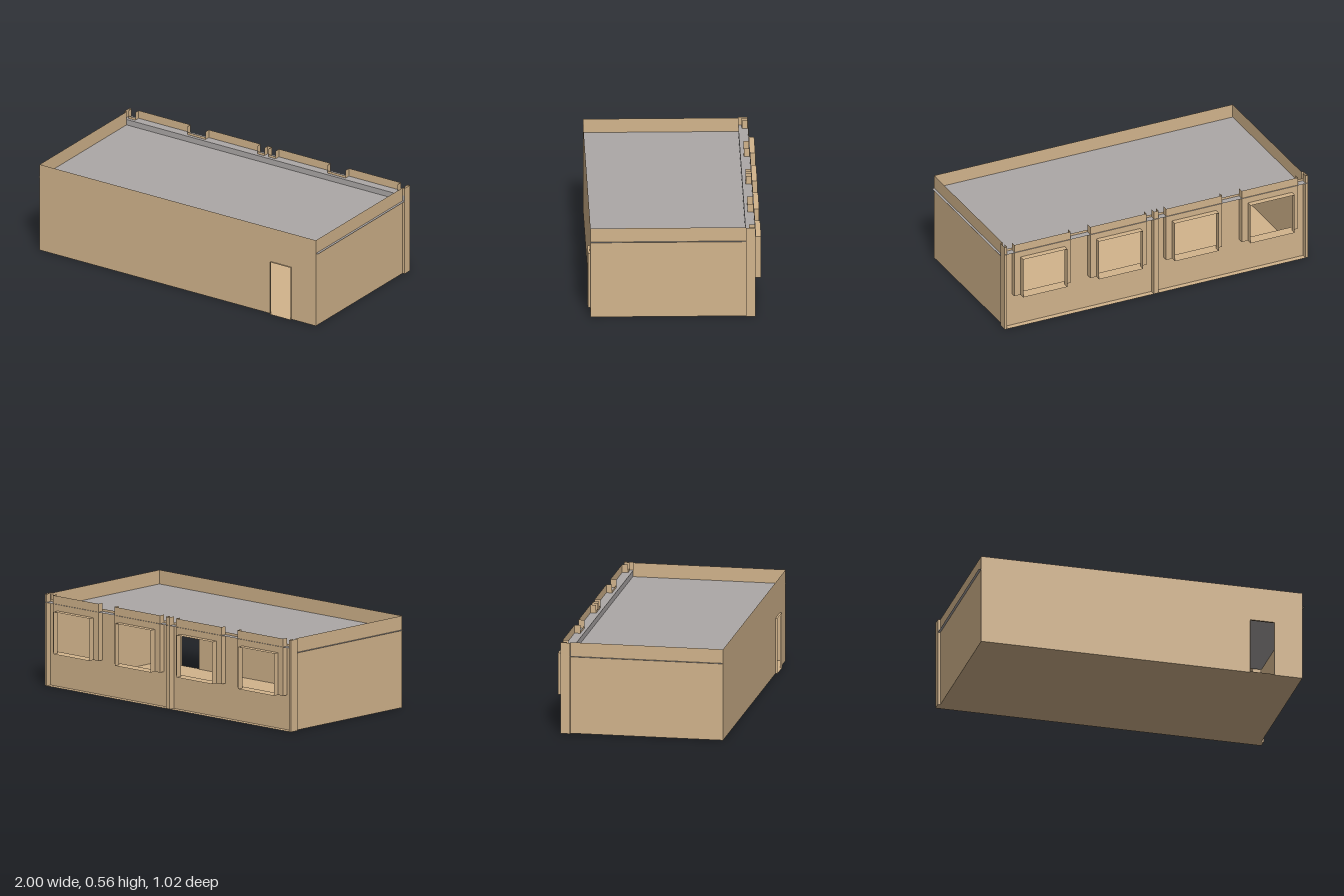
import * as THREE from 'three';

const H = 0.555;          // parapet height
const FRONT = 0.5;        // front wall z
const RECESS = -0.44;     // recessed back wall z
const BACK = -0.475;      // face of the window bays and piers z
const SIDE = 0.985;       // side wall x

export function createModel() {
  const tan = new THREE.MeshStandardMaterial({ color: 0xd2b48c, side: THREE.DoubleSide });
  tan.name = 'tan wall';
  const grey = new THREE.MeshStandardMaterial({ color: 0xaca8a7, side: THREE.DoubleSide });
  grey.name = 'grey roof';

  const model = new THREE.Group();
  model.name = 'flatRoofedBuilding';

  const add = (name, geometry, material = tan, parent = model) => {
    const mesh = new THREE.Mesh(geometry, material);
    mesh.name = name;
    parent.add(mesh);
    return mesh;
  };

  // Thin upright wall following a plan path of [x, z] points
  const wall = (name, path, y0, y1, material = tan, parent = model) => {
    const pos = [];
    for (let i = 0; i < path.length - 1; i++) {
      const [ax, az] = path[i], [bx, bz] = path[i + 1];
      pos.push(ax, y0, az, bx, y0, bz, bx, y1, bz, ax, y0, az, bx, y1, bz, ax, y1, az);
    }
    const g = new THREE.BufferGeometry();
    g.setAttribute('position', new THREE.Float32BufferAttribute(pos, 3));
    g.computeVertexNormals();
    return add(name, g, material, parent);
  };

  // Thin level sheet
  const slab = (name, x0, x1, z0, z1, y, material = tan, parent = model) => {
    const g = new THREE.PlaneGeometry(x1 - x0, z1 - z0).rotateX(-Math.PI / 2);
    g.translate((x0 + x1) / 2, y, (z0 + z1) / 2);
    return add(name, g, material, parent);
  };

  // Thin upright face from an outline of [x, y] points
  const face = (name, outline, z, parent = model) => {
    const shape = new THREE.Shape(outline.map(([x, y]) => new THREE.Vector2(x, y)));
    return add(name, new THREE.ShapeGeometry(shape).translate(0, 0, z), tan, parent);
  };

  // Floor and stepped roof, whose edges poke slightly through the walls
  slab('floor', -SIDE, SIDE, BACK, FRONT, 0);
  slab('mainRoof', -1, 1, -0.42, FRONT, 0.47, grey);
  slab('raisedRoofStrip', -1, 1, -0.48, -0.42, 0.505, grey);
  wall('roofStep', [[-1, -0.42], [1, -0.42]], 0.47, 0.505, grey);

  // Front wall with an open doorway
  const d0 = 0.665, d1 = 0.812, dh = 0.338;
  face('frontWall', [[-SIDE, 0], [d0, 0], [d0, dh], [d1, dh], [d1, 0], [SIDE, 0],
    [SIDE, H], [-SIDE, H]], FRONT);
  const door = new THREE.Group();
  door.name = 'doorFrame';
  model.add(door);
  for (const x of [d0, d1]) wall('doorJamb', [[x, FRONT], [x, 0.512]], 0, dh, tan, door);
  slab('doorHead', d0, d1, FRONT, 0.512, dh, tan, door);
  slab('doorSill', d0, d1, FRONT, 0.512, 0, tan, door);

  // Side walls, corner piers and recessed back wall, mirrored
  for (const s of [-1, 1]) {
    wall('sideWall', [[s * SIDE, FRONT], [s * SIDE, -0.42]], 0, H);
    wall('cornerPier', [[s * SIDE, -0.42], [s, -0.42], [s, BACK], [s * SIDE, BACK],
      [s * SIDE, RECESS]], 0, H);
    slab('cornerPierBase', s > 0 ? SIDE : -1, s > 0 ? 1 : -SIDE, BACK, -0.42, 0);
    wall('lowerBackWall', [[s * 0.015, RECESS], [s * SIDE, RECESS]], 0, 0.21);
    for (const [a, b] of [[0.015, 0.065], [0.435, 0.565], [0.935, SIDE]])
      wall('upperBackWall', [[s * a, RECESS], [s * b, RECESS]], 0.21, 0.52);
  }
  wall('centrePier', [[-0.015, RECESS], [-0.015, BACK], [0.015, BACK], [0.015, RECESS]], 0, H);

  // Four projecting window bays, each with a deeper open frame
  const y0 = 0.21, y1 = 0.465, zf = -0.512;
  for (const c of [-0.75, -0.25, 0.25, 0.75]) {
    const bay = new THREE.Group();
    bay.name = 'windowBay';
    model.add(bay);
    const l = c - 0.185, r = c + 0.185, wl = c - 0.145, wr = c + 0.145;
    face('bayFace', [[l, y0], [wl, y0], [wl, y1], [wr, y1], [wr, y0], [r, y0], [r, H], [l, H]],
      BACK, bay);
    for (const x of [l, r]) wall('bayCheek', [[x, RECESS], [x, BACK]], y0, H, tan, bay);
    slab('bayUnderside', l, r, BACK, RECESS, y0, tan, bay);
    for (const x of [wl, wr]) wall('windowJamb', [[x, BACK], [x, zf]], y0, y1, tan, bay);
    slab('windowSill', wl, wr, zf, BACK, y0, tan, bay);
    slab('windowHead', wl, wr, zf, BACK, y1, tan, bay);
  }
  return model;
}
